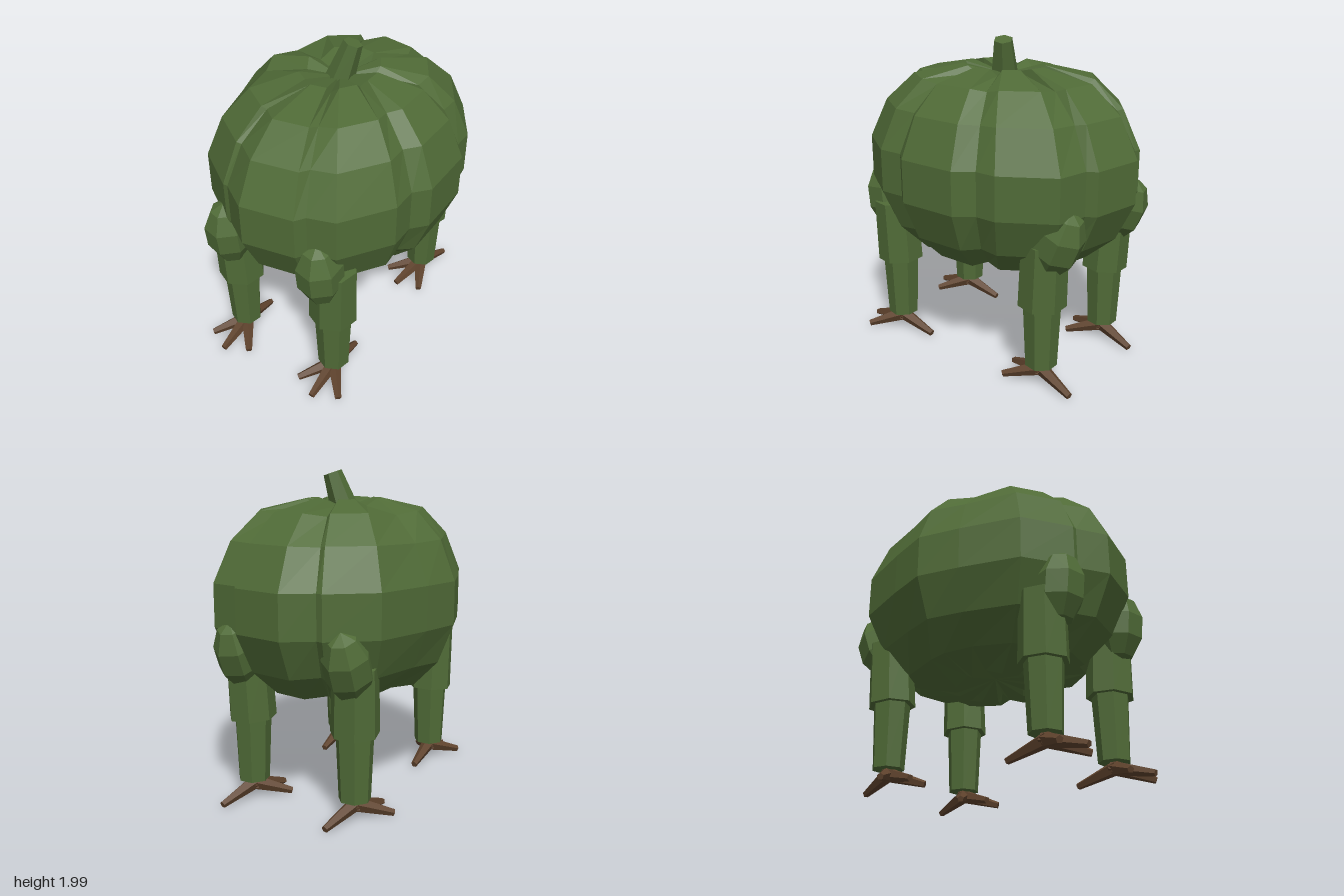
import * as THREE from 'three';

const green = new THREE.MeshStandardMaterial({ color: 0x506b37, flatShading: true });
green.name = 'rind green';
const brown = new THREE.MeshStandardMaterial({ color: 0x5f432d, flatShading: true });
brown.name = 'claw brown';

function add(parent, name, geometry, material) {
  const mesh = new THREE.Mesh(geometry, material);
  mesh.name = name;
  parent.add(mesh);
  return mesh;
}

// Tapered prism running between two points
function limb(parent, name, from, to, r0, r1, sides, material) {
  const a = new THREE.Vector3(...from), b = new THREE.Vector3(...to);
  const dir = b.clone().sub(a);
  const mesh = add(parent, name, new THREE.CylinderGeometry(r1, r0, dir.length(), sides), material);
  mesh.position.copy(a).add(b).multiplyScalar(0.5);
  mesh.quaternion.setFromUnitVectors(new THREE.Vector3(0, 1, 0), dir.normalize());
  return mesh;
}

// Ribbed gourd: widest outline [x, z, groove] scaled through rings [y, scale]
function bodyGeometry() {
  const outline = [
    [-0.07, -0.89, 0], [0.25, -0.83, 0], [0.28, -0.77, 1], [0.47, -0.73, 0], [0.65, -0.43, 0],
    [0.65, -0.3, 1], [0.73, -0.19, 0], [0.73, 0.18, 0], [0.65, 0.27, 1], [0.65, 0.43, 0],
    [0.45, 0.72, 0], [0.29, 0.77, 1], [0.25, 0.83, 0], [-0.07, 0.89, 0], [-0.24, 0.78, 1],
    [-0.27, 0.78, 0], [-0.54, 0.6, 0], [-0.66, 0.25, 1], [-0.73, 0, 0], [-0.66, -0.25, 1],
    [-0.54, -0.6, 0], [-0.28, -0.79, 0], [-0.24, -0.78, 1]
  ];
  const rings = [
    [0.69, 0], [0.63, 0.3], [0.70, 0.66], [0.86, 0.87], [1.1, 1],
    [1.36, 1], [1.6, 0.87], [1.765, 0.66], [1.83, 0.3], [1.77, 0]
  ];
  const point = (i, k) => {
    const [x, z, groove] = outline[i % outline.length];
    const [y, s] = rings[k];
    const dent = groove * (1 - s);
    const f = s * (1 - 0.1 * dent);
    return [x * f, y + (s > 0 ? Math.sign(1.23 - y) * 0.06 * dent : 0), z * f];
  };
  const pos = [];
  for (let k = 0; k < rings.length - 1; k++) {
    for (let i = 0; i < outline.length; i++) {
      const a = point(i, k), b = point(i, k + 1), c = point(i + 1, k), d = point(i + 1, k + 1);
      if (k > 0) pos.push(...a, ...b, ...c);
      if (k < rings.length - 2) pos.push(...c, ...b, ...d);
      else pos.push();
    }
  }
  const geo = new THREE.BufferGeometry();
  geo.setAttribute('position', new THREE.Float32BufferAttribute(pos, 3));
  geo.computeVertexNormals();
  return geo;
}

// Three toes forward, one back
function addFoot(leg, yaw) {
  const foot = new THREE.Group();
  foot.name = 'foot';
  foot.rotation.y = yaw;
  leg.add(foot);
  for (const [x, z] of [[-0.15, 0.18], [0, 0.255], [0.15, 0.18], [0, -0.255]]) {
    limb(foot, 'toe', [-x * 0.08, 0.105, -z * 0.08], [x, 0.03, z], 0.047, 0.021, 5, brown);
  }
}

export function createModel() {
  const model = new THREE.Group();
  model.name = 'walkingGourd';

  add(model, 'body', bodyGeometry(), green);
  limb(model, 'stem', [-0.01, 1.72, 0.01], [0.065, 1.983, -0.035], 0.092, 0.058, 6, green);

  for (const side of [-1, 1]) {
    for (const front of [true, false]) {
      const leg = new THREE.Group();
      leg.name = (front ? 'front' : 'rear') + (side > 0 ? 'Left' : 'Right') + 'Leg';
      leg.position.set(side * 0.35, 0, front ? 0.605 : -0.54);
      model.add(leg);

      // Bulging hip, leaning outwards on the rear legs
      const hip = add(leg, 'hip', new THREE.SphereGeometry(1, 7, 5), green);
      hip.scale.set(0.145, 0.225, front ? 0.15 : 0.16);
      hip.position.set(front ? -side * 0.02 : side * 0.01, 0.945, front ? 0.105 : -0.105);
      hip.rotation.x = front ? 0.1 : -0.4;

      limb(leg, 'upperLeg', [0, 0.53, 0], [side * 0.01, 0.93, front ? 0.01 : -0.02], 0.147, 0.14, 7, green);
      limb(leg, 'lowerLeg', [0, 0.13, 0], [0, 0.54, 0], 0.097, 0.115, 7, green);
      addFoot(leg, front ? 0 : -0.25);
    }
  }
  return model;
}
